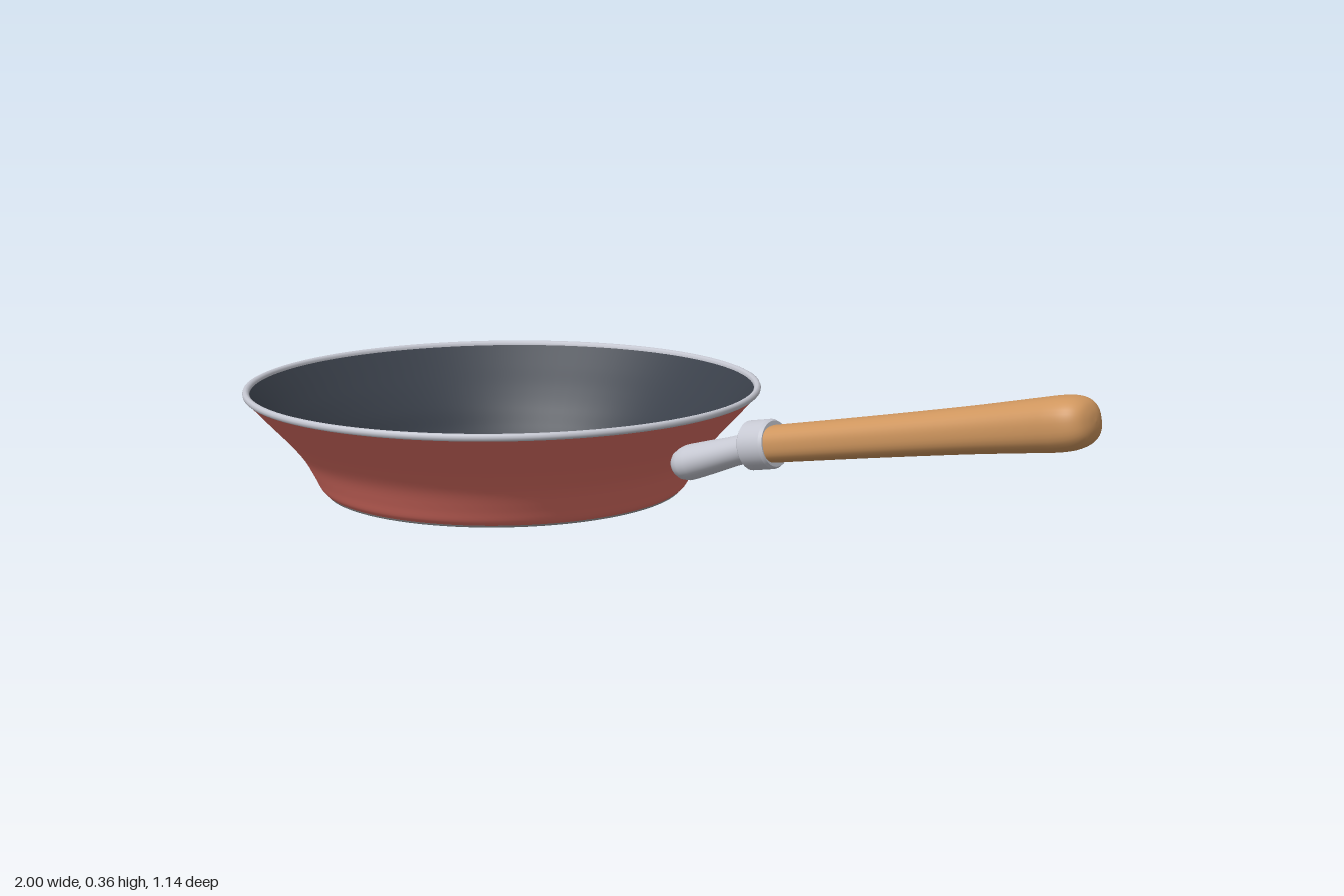
import * as THREE from 'three';
import { mergeVertices } from 'three/addons/utils/BufferGeometryUtils.js';

const paint = (name, color) => {
  const m = new THREE.MeshStandardMaterial({ color });
  m.name = name;
  return m;
};
const v = (x, y) => new THREE.Vector2(x, y);
const points = list => list.map(p => v(...p));
const smooth = (list, n = 28) => new THREE.SplineCurve(points(list)).getPoints(n);

export function createModel() {
  const red = paint('red enamel', 0xe07065);
  const coating = paint('dark coating', 0x393f49);
  const steel = paint('steel', 0xc6c8d2);
  const wood = paint('wood', 0xcf965e);
  const baseGrey = paint('base grey', 0xa2a2a4);

  const model = new THREE.Group();
  const add = (parent, name, geometry, material) => {
    const mesh = new THREE.Mesh(geometry, material);
    mesh.name = name;
    parent.add(mesh);
    return mesh;
  };

  // Pan body: flared outer wall, coated inside, steel rim, flat base
  const pan = new THREE.Group();
  pan.name = 'pan';
  pan.position.x = -0.431;
  model.add(pan);
  const lathe = (name, profile, material) =>
    add(pan, name, new THREE.LatheGeometry(profile, 96), material);

  lathe('outerWall', smooth([[0.398, 0.004], [0.409, 0.014], [0.423, 0.042], [0.447, 0.085],
    [0.482, 0.128], [0.523, 0.172], [0.565, 0.218]]), red);
  lathe('innerWall', smooth([[0.557, 0.224], [0.513, 0.176], [0.471, 0.131], [0.436, 0.088],
    [0.411, 0.046], [0.389, 0.018]]), coating);
  lathe('floor', points([[0.389, 0.018], [0, 0.018]]), coating);
  lathe('base', points([[0, 0], [0.396, 0], [0.399, 0.005]]), baseGrey);
  lathe('rim', points([[0.559, 0.216], [0.566, 0.217], [0.569, 0.22], [0.57, 0.225], [0.568, 0.23],
    [0.563, 0.232], [0.558, 0.23], [0.555, 0.226], [0.555, 0.22]]), steel);

  // Two rivet heads on the inside wall
  for (const z of [-0.032, 0.032]) {
    const rivet = add(pan, 'rivet', new THREE.SphereGeometry(0.01, 16, 10), steel);
    rivet.position.set(0.474, 0.135, z);
    rivet.scale.set(0.8, 1, 1);
  }

  // Turned geometry whose axis runs along local x, flattened in y
  const turned = (profile, flatten) => {
    const g = new THREE.LatheGeometry(profile, 40);
    g.rotateZ(-Math.PI / 2);
    g.scale(1, flatten, 1);
    return g;
  };

  // Stem rising from the wall to the ferrule, swollen at the wall end
  const stem = add(model, 'stem', turned(points([[0, 0], [0.015, 0.002], [0.029, 0.008],
    [0.038, 0.018], [0.043, 0.032], [0.043, 0.05], [0.04, 0.1], [0.036, 0.15], [0.034, 0.22]]),
  0.86), steel);
  stem.position.set(0.049, 0.107, 0);
  stem.rotation.z = 0.33;

  // Ferrule and wooden grip share one tilted axis
  const handle = new THREE.Group();
  handle.name = 'handle';
  handle.position.set(0.268, 0.181, 0);
  handle.rotation.z = 0.188;
  model.add(handle);
  add(handle, 'ferrule', turned(points([[0, -0.031], [0.0485, -0.031], [0.049, -0.031],
    [0.0525, -0.0275], [0.053, -0.027], [0.053, 0.024], [0.0525, 0.0245], [0.049, 0.031],
    [0.0485, 0.031], [0, 0.031]]), 0.96), steel);

  // Grip: turned shape squared off slightly into a rounded-box section
  const profile = smooth([[0.045, 0.015], [0.046, 0.1], [0.049, 0.28], [0.054, 0.48], [0.06, 0.62],
    [0.062, 0.675], [0.058, 0.708], [0.045, 0.729], [0.024, 0.739], [0, 0.742]], 48);
  const grip = turned(profile, 1);
  const pos = grip.attributes.position;
  for (let i = 0; i < pos.count; i++) {
    const y = pos.getY(i), z = pos.getZ(i), r = Math.hypot(y, z);
    const k = r > 1e-6 ? r / (Math.abs(y) ** 2.5 + Math.abs(z) ** 2.5) ** 0.4 : 1;
    pos.setY(i, y * k * 0.83);
    pos.setZ(i, z * k);
  }
  grip.deleteAttribute('uv');
  grip.deleteAttribute('normal');
  const gripSmooth = mergeVertices(grip, 1e-5);
  gripSmooth.computeVertexNormals();
  add(handle, 'grip', gripSmooth, wood);

  return model;
}
